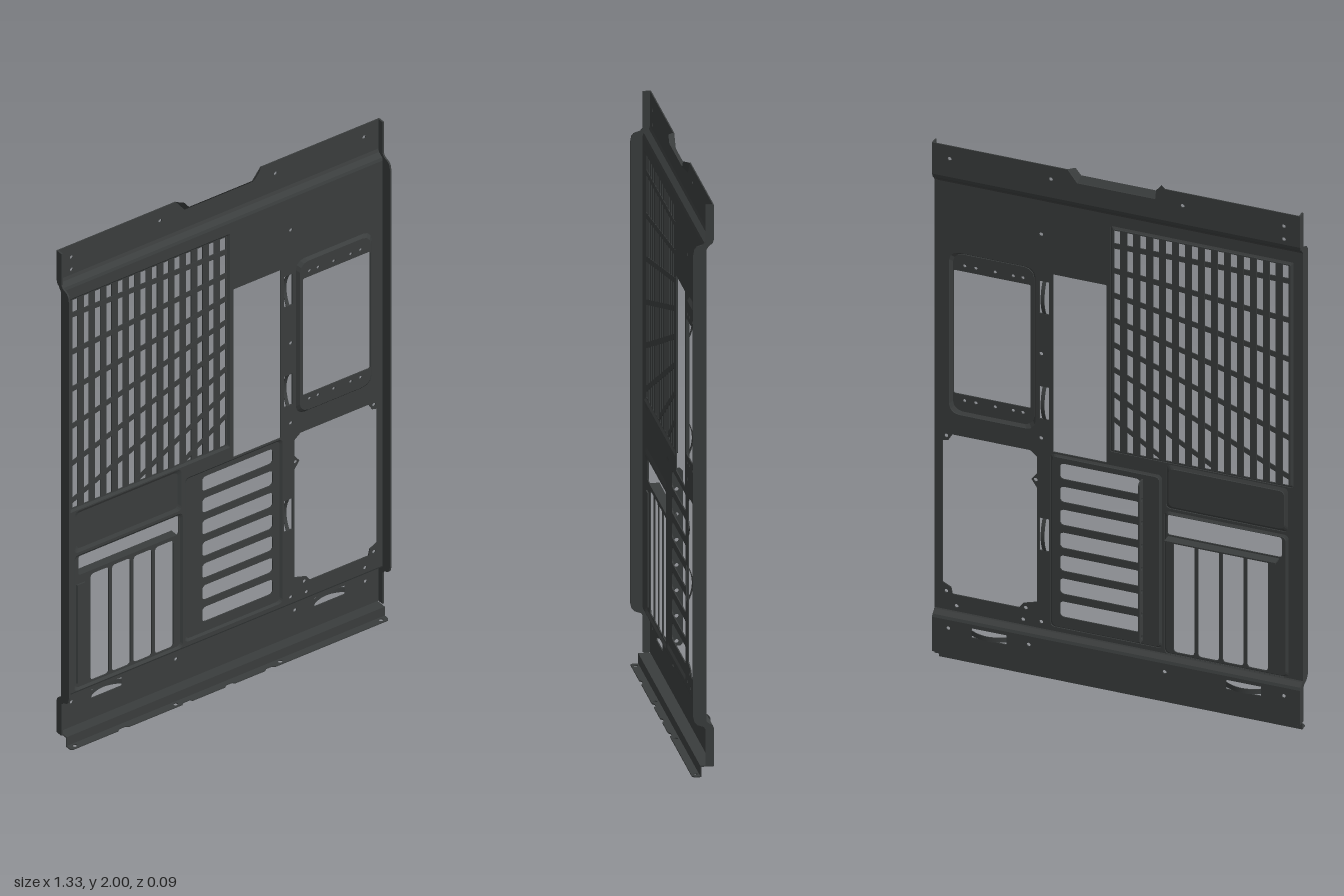
import * as THREE from 'three';

const mat = new THREE.MeshStandardMaterial({ color: 0x3a3d3d, side: THREE.DoubleSide });
const BACK = -0.004, LIP = -0.025, RECESS = -0.006, T = 0.004;

// closed outline of a rounded rectangle
function rr(x0, x1, y0, y1, r = 0.01) {
  const pts = [];
  [[x1 - r, y1 - r], [x0 + r, y1 - r], [x0 + r, y0 + r], [x1 - r, y0 + r]].forEach(([cx, cy], q) => {
    for (let i = 0; i <= 3; i++) {
      const a = (q + i / 3) * Math.PI / 2;
      pts.push(new THREE.Vector2(cx + r * Math.cos(a), cy + r * Math.sin(a)));
    }
  });
  return pts;
}
const poly = (list) => list.map(([x, y]) => new THREE.Vector2(x, y));
const hole = (x, y, r = 0.007) => new THREE.Path().absarc(x, y, r, 0, Math.PI * 2).getPoints(8).slice(0, -1);

export function createModel() {
  const model = new THREE.Group();
  const add = (name, geo, x = 0, y = 0, z = 0) => {
    const m = new THREE.Mesh(geo, mat);
    m.name = name;
    m.position.set(x, y, z);
    model.add(m);
    return m;
  };
  const extrude = (outline, holes, depth) => {
    const s = new THREE.Shape(outline);
    s.holes = holes.map((h) => new THREE.Path(h));
    return new THREE.ExtrudeGeometry(s, { depth, bevelEnabled: false });
  };
  const sheet = (name, outline, holes, z) => add(name, extrude(outline, holes, T), 0, 0, z - T);
  const box = (name, x0, x1, y0, y1, z0, z1) => add(name,
    new THREE.BoxGeometry(x1 - x0, y1 - y0, z1 - z0), (x0 + x1) / 2, (y0 + y1) / 2, (z0 + z1) / 2);
  // sloped band between two outlines at different depths
  const band = (name, a, za, b, zb, closed = true) => {
    const pos = [], n = a.length;
    for (let i = 0; i < (closed ? n : n - 1); i++) {
      const j = (i + 1) % n;
      const A = [a[i].x, a[i].y, za], B = [a[j].x, a[j].y, za];
      const C = [b[j].x, b[j].y, zb], D = [b[i].x, b[i].y, zb];
      pos.push(...A, ...B, ...C, ...A, ...C, ...D);
    }
    const g = new THREE.BufferGeometry();
    g.setAttribute('position', new THREE.Float32BufferAttribute(pos, 3));
    g.computeVertexNormals();
    return add(name, g);
  };
  // (z, y) profile swept along x from x0 to x1
  const sweepX = (name, profile, x0, x1, holes = []) => {
    const g = extrude(poly(profile.map(([z, y]) => [-z, y])), holes, x1 - x0);
    g.rotateY(Math.PI / 2);
    return add(name, g, x0);
  };

  const bodyHoles = [], lipHoles = [];
  // pressed panel: opening in the body, sloped rim and offset sheet
  const pressed = (name, [x0, x1, y0, y1], inset, z, holes, r = 0.015) => {
    const outer = rr(x0, x1, y0, y1, r);
    const inner = rr(x0 + inset, x1 - inset, y0 + inset, y1 - inset, r);
    bodyHoles.push(outer);
    band(name + 'Rim', outer, 0, inner, z);
    sheet(name, inner, holes, z);
  };

  // ventilation grille: upright bars crossed by fanned bars
  const gx0 = -0.615, gx1 = 0.0155, gy0 = 0.943, gy1 = 1.79;
  pressed('grilleFrame', [-0.63, 0.03, 0.932, 1.802], 0.008, RECESS, [rr(gx0, gx1, gy0, gy1, 0.003)], 0.005);
  for (let i = 0; i < 13; i++) {
    const x = gx0 + 0.022 + i * 0.0468;
    box('grilleBar', x, x + 0.0248, gy0, gy1, RECESS - T, RECESS);
  }
  for (let i = 0; i < 8; i++) {
    const yr = 1.73 - i * 0.0955, yl = 1.73 - i * 0.151 - (i > 5 ? 0.02 : 0);
    const slope = (yr - yl) / (gx1 - gx0);
    const xs = Math.max(gx0, gx0 + (gy0 + 0.01 - yl) / slope || gx0);
    const ys = yr - slope * (gx1 - xs), h = 0.01;
    sheet('grilleCrossbar', poly([[xs, ys - h], [gx1, yr - h], [gx1, yr + h], [xs, ys + h]]), [], RECESS + 0.001);
  }

  // blank recess below the grille
  pressed('blankPanel', [-0.61, -0.17, 0.758, 0.927], 0.012, RECESS, []);

  // upright slot panel with top shelf
  const upright = [rr(-0.59, -0.178, 0.66, 0.737, 0.008)];
  for (let i = 0; i < 4; i++) upright.push(rr(-0.54 + i * 0.0885, -0.465 + i * 0.0885, 0.212, 0.645, 0.012));
  pressed('uprightSlotPanel', [-0.612, -0.165, 0.198, 0.747], 0.008, RECESS, upright);
  box('slotShelf', -0.58, -0.18, 0.65, 0.655, -0.044, RECESS);
  box('sideRib', -0.598, -0.565, 0.225, 0.625, RECESS, RECESS + 0.005);

  // level slot panel with drilled rear flange
  const level = [rr(-0.147, -0.092, 0.224, 0.866, 0.004)], drilled = [];
  for (let i = 0; i < 7; i++) {
    const y = 0.822 - i * 0.0885;
    level.push(rr(-0.08, 0.21, y - 0.03, y + 0.03, 0.014));
    drilled.push(hole(0.023, y - 0.04));
  }
  pressed('levelSlotPanel', [-0.156, 0.246, 0.213, 0.88], 0.008, RECESS, level);
  sweepX('drilledFlange', [[RECESS, 0.235], [-0.035, 0.235], [-0.044, 0.245], [-0.044, 0.845], [-0.035, 0.855], [RECESS, 0.855]],
    -0.09, -0.085, drilled);

  // raised window frame
  const frame = [rr(0.322, 0.6, 1.03, 1.505, 0.006)];
  for (const y of [1.008, 1.527]) for (const x of [0.35, 0.385, 0.45, 0.52, 0.56]) frame.push(hole(x, y, 0.006));
  pressed('windowFrame', [0.3, 0.612, 0.955, 1.58], 0.01, 0.01, frame, 0.035);

  // plain openings in the body
  bodyHoles.push(rr(0.044, 0.238, 0.886, 1.57, 0.003));
  bodyHoles.push(poly([[0.32, 0.875], [0.6, 0.875], [0.615, 0.85], [0.635, 0.845], [0.635, 0.3], [0.605, 0.285], [0.6, 0.26],
    [0.36, 0.26], [0.345, 0.28], [0.295, 0.295], [0.295, 0.735], [0.315, 0.765], [0.295, 0.79], [0.295, 0.855]]));
  for (const [x, y] of [[0.28, 1.715], [0.28, 1.255], [0.28, 0.93], [0.28, 0.222], [0.345, 0.217], [0.585, 0.217],
    [0.622, 0.866], [0.3, 0.765], [0.336, 0.264], [0.622, 0.268]]) bodyHoles.push(hole(x, y));

  // bowed tie bridges, pressed rearward across their openings
  const bridge = (name, x, y, len, wide, sag, z, vertical) => {
    const g = new THREE.BoxGeometry(len, wide, 0.003, 16, 1, 1);
    const p = g.attributes.position;
    for (let i = 0; i < p.count; i++) p.setZ(i, p.getZ(i) - sag * (1 - (2 * p.getX(i) / len) ** 2));
    if (vertical) g.rotateZ(Math.PI / 2);
    g.computeVertexNormals();
    add(name, g, x, y, z - T / 2);
  };
  for (const y of [1.473, 1.067, 0.56]) {
    bodyHoles.push(rr(0.252, 0.286, y - 0.0625, y + 0.0625, 0.002));
    bridge('bodyTieBridge', 0.2685, y, 0.125, 0.013, 0.018, 0, true);
  }
  for (const x of [-0.46, 0.458]) {
    lipHoles.push(rr(x - 0.0635, x + 0.0635, 0.122, 0.158, 0.002));
    bridge('lipTieBridge', x, 0.14, 0.127, 0.018, 0.02, LIP, false);
  }

  // main sheet, top lip and bottom lip
  const W = 0.663;
  sheet('bodySheet', poly([[-W, 0.197], [W, 0.197], [W, 1.845], [-W, 1.845]]), bodyHoles, 0);
  const notch = poly([[0.175, 2], [0.14, 1.955], [-0.14, 1.955], [-0.175, 2]]);
  sheet('topLip', [...poly([[-W, 2], [-W, 1.88], [W, 1.88], [W, 2]]), ...notch],
    [[-0.605, 1.95], [-0.605, 1.9], [-0.24, 1.95], [0.235, 1.95], [0.6, 1.95]].map(([x, y]) => hole(x, y)), LIP);
  band('handNotchRim', notch, LIP, poly([[0.155, 2], [0.135, 1.975], [-0.135, 1.975], [-0.155, 2]]), -0.006, false);
  for (const x of [-0.605, -0.175, 0.315, 0.605]) lipHoles.push(hole(x, 0.14));
  sheet('bottomLip', poly([[-W, 0.04], [W, 0.04], [W, 0.172], [-W, 0.172]]), lipHoles, LIP);

  // sloped bends joining the lips to the body
  sweepX('topBend', [[0, 1.845], [-0.003, 1.856], [-0.021, 1.868], [LIP, 1.88], [LIP - T, 1.88], [-0.025, 1.866], [-0.007, 1.853], [BACK, 1.845]], -W, W);
  sweepX('bottomBend', [[0, 0.197], [-0.003, 0.19], [-0.021, 0.18], [LIP, 0.172], [LIP - T, 0.172], [-0.025, 0.182], [-0.007, 0.193], [BACK, 0.197]], -W, W);

  // side flanges turned forward
  const flange = [[LIP - T, 2], [-0.001, 2], [-0.001, 1.872], [0.008, 1.862], [0.03, 1.855], [0.038, 1.845], [0.042, 1.825],
    [0.042, 0.215], [0.037, 0.195], [0.027, 0.185], [0.006, 0.178], [-0.001, 0.168], [-0.001, 0.04],
    [LIP - T, 0.04], [LIP - T, 0.172], [BACK, 0.197], [BACK, 1.845], [LIP - T, 1.88]];
  for (const s of [-1, 1]) sweepX('sideFlange', flange, s * 0.661 - 0.003, s * 0.661 + 0.003);

  // stepped foot rail with notched, drilled toe
  box('footShelf', -0.655, 0.655, 0.036, 0.04, LIP - T, 0.016);
  box('footRiser', -0.655, 0.655, 0.002, 0.038, 0.012, 0.016);
  const toe = [[-0.655, 0.012], [0.655, 0.012], [0.655, 0.035], [0.648, 0.043]];
  for (const x of [0.165, 0, -0.175, -0.44]) toe.push([x + 0.022, 0.043], [x + 0.012, 0.035], [x - 0.012, 0.035], [x - 0.022, 0.043]);
  toe.push([-0.648, 0.043], [-0.655, 0.035]);
  const toeGeo = extrude(poly(toe), [-0.63, -0.215, 0.215, 0.63].map((x) => hole(x, 0.029, 0.008)), T);
  toeGeo.rotateX(Math.PI / 2);
  add('footToe', toeGeo, 0, T, 0);

  return model;
}
